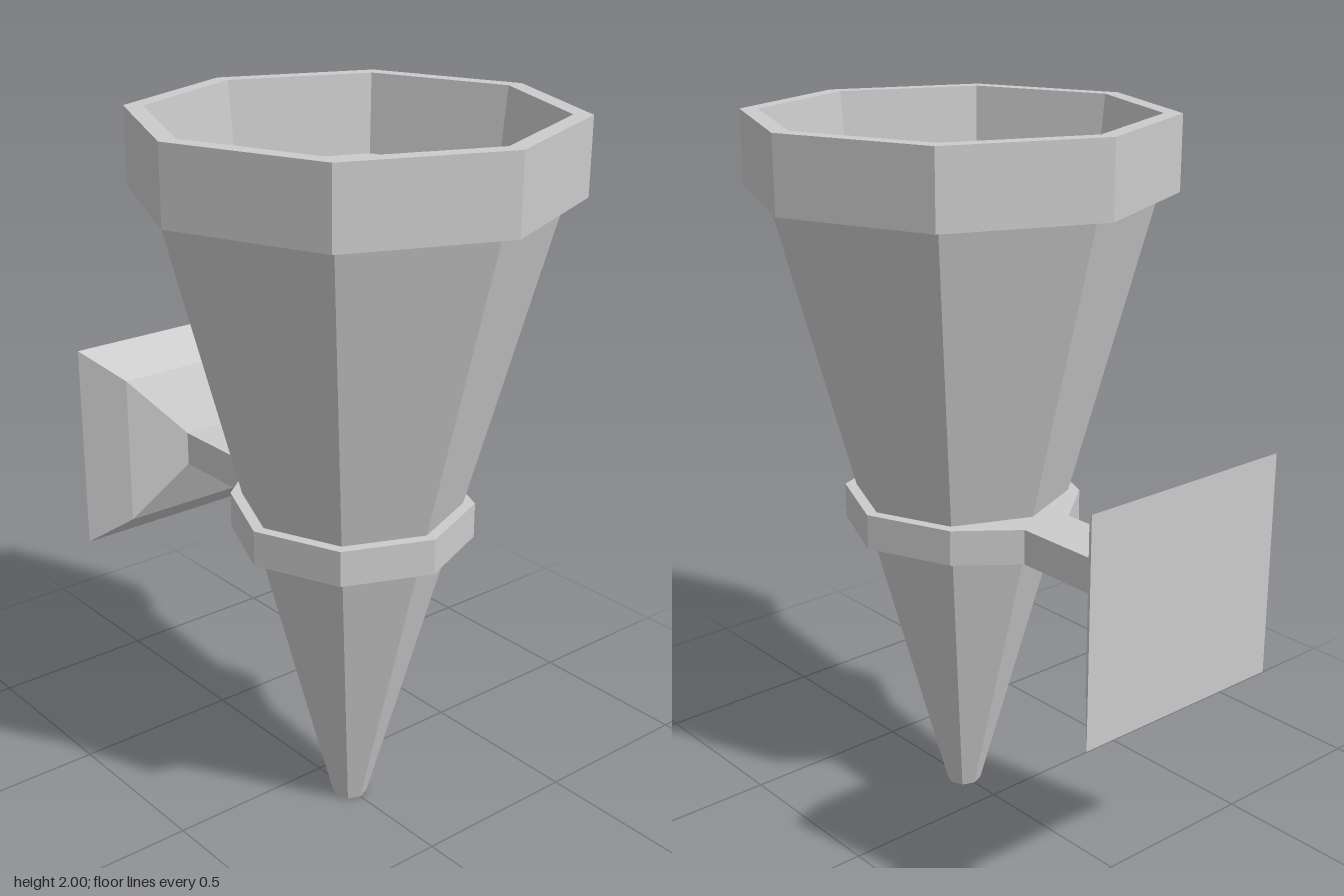
import * as THREE from 'three';

const AXIS_Z = 0.14; // the torch axis sits forward of the wall plate
const SIDES = 8;

function octagon(radius, first = 0) {
  const pts = [];
  for (let i = first; i < SIDES; i++) {
    const a = Math.PI / 2 + (i / SIDES) * Math.PI * 2;
    pts.push(new THREE.Vector2(Math.cos(a) * radius, Math.sin(a) * radius - AXIS_Z));
  }
  return pts;
}

// Skin over rectangular sections [z, halfWidth, halfHeight], listed front to back
function rectLoft(sections, centerY) {
  const pos = [];
  const rings = sections.map(([z, w, h]) =>
    [[-w, -h], [w, -h], [w, h], [-w, h]].map(([x, y]) => [x, centerY + y, z]));
  const quad = (a, b, c, d) => pos.push(...a, ...b, ...c, ...a, ...c, ...d);
  for (let s = 0; s < rings.length - 1; s++) {
    const f = rings[s], b = rings[s + 1];
    for (let i = 0; i < 4; i++) {
      const j = (i + 1) % 4;
      quad(f[i], b[i], b[j], f[j]);
    }
  }
  const first = rings[0], last = rings[rings.length - 1];
  quad(first[0], first[1], first[2], first[3]);
  quad(last[3], last[2], last[1], last[0]);
  const geo = new THREE.BufferGeometry();
  geo.setAttribute('position', new THREE.Float32BufferAttribute(pos, 3));
  geo.computeVertexNormals();
  return geo;
}

export function createModel() {
  const group = new THREE.Group();
  group.name = 'wallTorch';
  const material = new THREE.MeshStandardMaterial({ color: 0xcccccc, flatShading: true });
  const add = (name, geometry) => {
    const mesh = new THREE.Mesh(geometry, material);
    mesh.name = name;
    group.add(mesh);
    return mesh;
  };

  // Tapered body with a thick rim and a shallow recessed bowl
  const profile = [
    [0, 0], [0.05, 0], [0.53, 1.795], [0.585, 1.795],
    [0.585, 2], [0.535, 2], [0.51, 1.78], [0, 1.78],
  ].map(([r, y]) => new THREE.Vector2(r, y));
  add('torchBody', new THREE.LatheGeometry(profile, SIDES)).position.z = AXIS_Z;

  // Holding ring whose back corner runs out into the arm
  const outline = octagon(0.335, 1);
  for (const [x, y] of [[0.08, 0.22], [0.08, 0.53], [-0.08, 0.53], [-0.08, 0.22]]) {
    outline.push(new THREE.Vector2(x, y));
  }
  const shape = new THREE.Shape(outline);
  shape.holes.push(new THREE.Path(octagon(0.272)));
  const ring = new THREE.ExtrudeGeometry(shape, { depth: 0.1, bevelEnabled: false });
  ring.rotateX(-Math.PI / 2);
  add('ringAndArm', ring).position.y = 0.845;

  // Flared wall mount
  add('wallMount', rectLoft([
    [-0.53, 0.08, 0.05],
    [-0.62, 0.23, 0.224],
    [-0.725, 0.325, 0.31],
  ], 0.895));

  return group;
}
